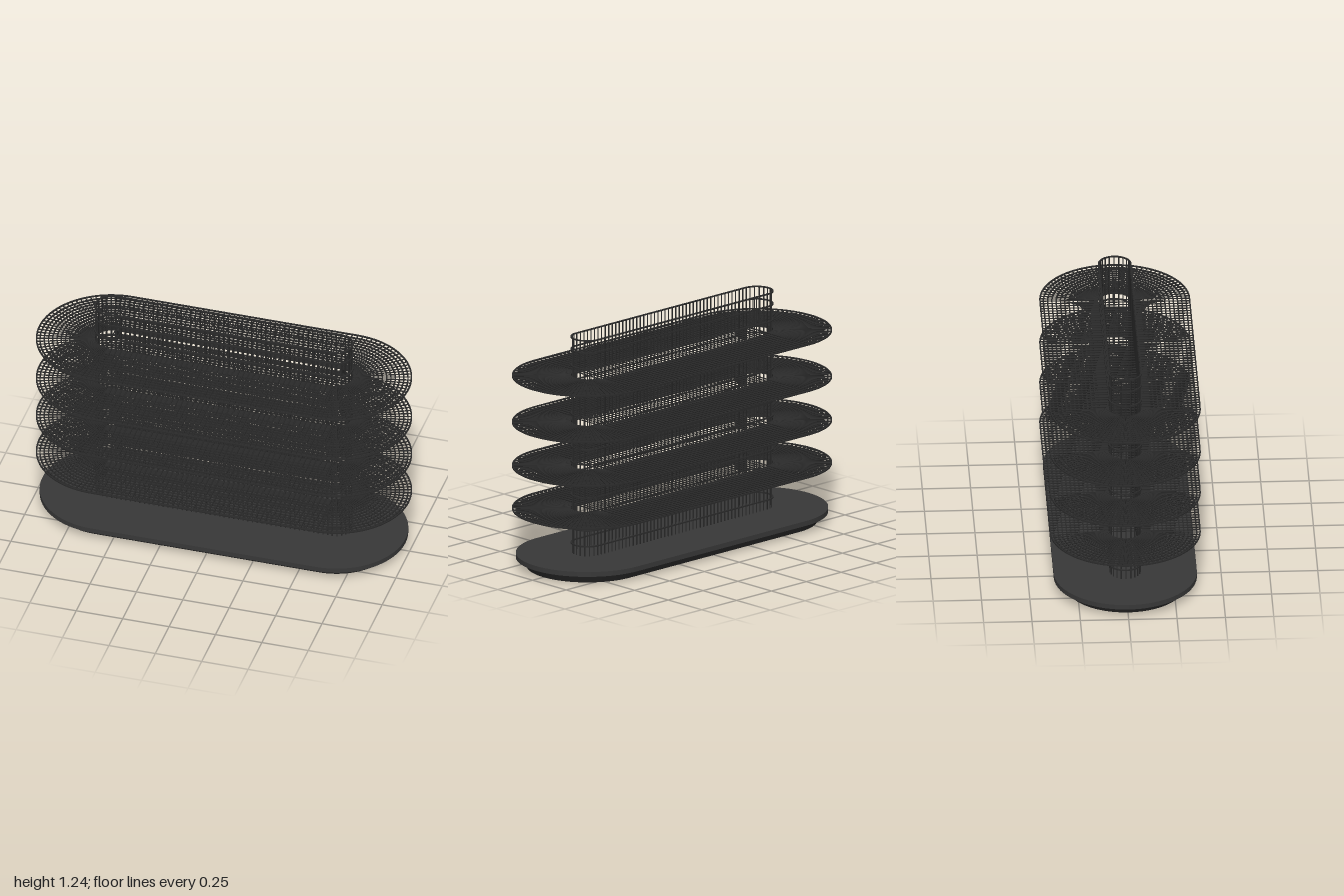
import * as THREE from 'three';
import { mergeGeometries } from 'three/addons/utils/BufferGeometryUtils.js';

const HALF = 0.607;      // half length of the straight sides
const CORE = 0.085;      // radius of the wire core
const RIM = 0.39;        // radius of the shelf rim
const WIRE = 0.007;      // wire thickness
const SHELVES = [0.313, 0.543, 0.777, 1.027];

const dark = new THREE.MeshStandardMaterial({ color: 0x383838 });
const black = new THREE.MeshStandardMaterial({ color: 0x1c1c1c });
const wireMat = new THREE.MeshStandardMaterial({ color: 0x2a2a2a });

// Slot outline: two straight sides and two round ends
function outline(path, r) {
  path.moveTo(-HALF, -r);
  path.lineTo(HALF, -r);
  path.absarc(HALF, 0, r, -Math.PI / 2, Math.PI / 2, false);
  path.lineTo(-HALF, r);
  path.absarc(-HALF, 0, r, Math.PI / 2, Math.PI * 1.5, false);
  return path;
}

// Flat slot-shaped slab or ring standing on height y
function slab(outer, inner, y, h, curveSegments = 24) {
  const shape = outline(new THREE.Shape(), outer);
  if (inner > 0) shape.holes.push(outline(new THREE.Path(), inner));
  const g = new THREE.ExtrudeGeometry(shape, { depth: h, bevelEnabled: false, curveSegments });
  return g.rotateX(-Math.PI / 2).translate(0, y, 0);
}

const ring = (r, y) => slab(r, r - WIRE, y, WIRE);

// Straight round wire between two points
function wire(a, b) {
  const dir = b.clone().sub(a);
  const g = new THREE.CylinderGeometry(WIRE / 2, WIRE / 2, dir.length(), 6);
  const q = new THREE.Quaternion().setFromUnitVectors(new THREE.Vector3(0, 1, 0), dir.normalize());
  return g.applyQuaternion(q).translate((a.x + b.x) / 2, (a.y + b.y) / 2, (a.z + b.z) / 2);
}

// Evenly spread stations around the slot; each returns a point at radius r and height y
function stations(straight, arc) {
  const list = [];
  const add = (cx, nx, nz) => list.push((r, y) => new THREE.Vector3(cx + nx * r, y, nz * r));
  for (const s of [1, -1]) {
    for (let i = 0; i <= straight; i++) add(HALF * (2 * i / straight - 1), 0, s);
    for (let i = 1; i < arc; i++) {
      const t = Math.PI * i / arc;
      add(s * HALF, s * Math.sin(t), Math.cos(t));
    }
  }
  return list;
}

function mesh(name, geometry, material) {
  const m = new THREE.Mesh(geometry, material);
  m.name = name;
  return m;
}

// Curved support plate, reaching out along +x from the core
function bracketGeometry() {
  const s = new THREE.Shape();
  s.moveTo(CORE, -0.014);
  s.lineTo(CORE, -0.077);
  s.lineTo(0.112, -0.077);
  s.bezierCurveTo(0.165, -0.077, 0.15, -0.025, 0.25, -0.015);
  s.lineTo(0.25, -0.013);
  s.closePath();
  return new THREE.ExtrudeGeometry(s, { depth: 0.01, bevelEnabled: false, curveSegments: 12 })
    .translate(0, 0, -0.005);
}

function shelfGeometry() {
  const parts = [ring(RIM, -WIRE)];
  // spokes over the concentric rings
  for (const at of stations(44, 44)) parts.push(wire(at(CORE, -WIRE / 2), at(RIM - 0.002, -WIRE / 2)));
  for (let r = 0.372; r > 0.1; r -= 0.022) parts.push(ring(r, -2 * WIRE));
  // cross wires through the core
  for (let i = 0; i <= 44; i++) {
    const x = HALF * (i / 22 - 1);
    parts.push(wire(new THREE.Vector3(x, -WIRE / 2, -CORE), new THREE.Vector3(x, -WIRE / 2, CORE)));
  }
  return mergeGeometries(parts.map((g) => g.toNonIndexed()));
}

export function createModel() {
  const model = new THREE.Group();
  model.name = 'wireShelfDisplay';

  // Base
  model.add(mesh('plinth', slab(0.314, 0, 0, 0.046), black));
  model.add(mesh('baseDeck', slab(0.37, 0, 0.046, 0.026), dark));

  // Wire core
  const uprights = stations(48, 10).map((at) => wire(at(CORE - WIRE, 0.07), at(CORE - WIRE, 1.235)));
  model.add(mesh('coreUprights', mergeGeometries(uprights), wireMat));
  const levels = [0.125, 0.21, 0.25, 0.385, 0.49, 0.565, 0.645, 0.71, 0.82, 0.985, 1.08, 1.165, 1.232];
  model.add(mesh('coreHoops', mergeGeometries(levels.map((y) => ring(CORE + 0.002, y - WIRE / 2))), wireMat));

  // Shelves with collar and brackets
  const grid = shelfGeometry();
  const collar = slab(0.132, CORE, -0.014, 0.006);
  const bracket = bracketGeometry();
  for (const y of SHELVES) {
    const shelf = new THREE.Group();
    shelf.name = 'shelf';
    shelf.position.y = y;
    shelf.add(mesh('shelfGrid', grid, wireMat), mesh('shelfCollar', collar, wireMat));
    for (const side of [1, -1]) {
      for (const turn of [-1, 0, 1]) {
        const b = mesh('bracket', bracket, wireMat);
        b.position.x = side * HALF;
        b.rotation.y = (side > 0 ? 0 : Math.PI) + turn * Math.PI / 2;
        shelf.add(b);
      }
    }
    model.add(shelf);
  }
  return model;
}
